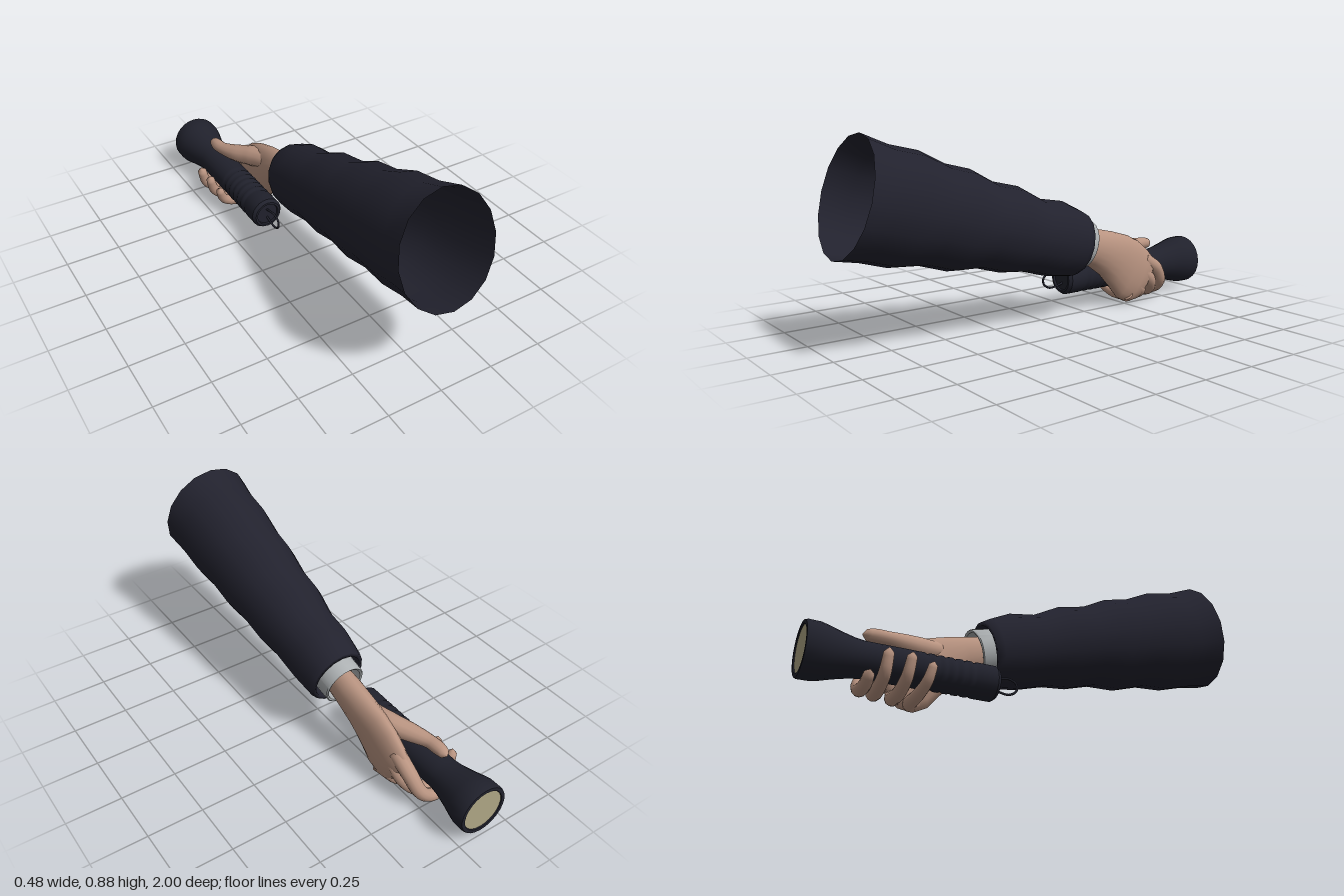
import * as THREE from 'three';
import { toCreasedNormals } from 'three/addons/utils/BufferGeometryUtils.js';

const V3 = (x, y, z) => new THREE.Vector3(x, y, z);
const mat = (name, color, side = THREE.FrontSide) => {
  const m = new THREE.MeshStandardMaterial({ color, side });
  m.name = name;
  return m;
};

// Skin a row of elliptical rings {c, u, v}; u x v points along the row.
function loft(rings, sides, capped) {
  const pos = [], idx = [];
  for (const { c, u, v } of rings) {
    for (let j = 0; j < sides; j++) {
      const a = (j / sides) * Math.PI * 2;
      const p = c.clone().addScaledVector(u, Math.cos(a)).addScaledVector(v, Math.sin(a));
      pos.push(p.x, p.y, p.z);
    }
  }
  for (let i = 0; i < rings.length - 1; i++) {
    for (let j = 0; j < sides; j++) {
      const k = (j + 1) % sides, a = i * sides, b = a + sides;
      idx.push(a + j, a + k, b + j, a + k, b + k, b + j);
    }
  }
  if (capped) {
    const last = (rings.length - 1) * sides, n = rings.length * sides;
    pos.push(...rings[0].c.toArray(), ...rings[rings.length - 1].c.toArray());
    for (let j = 0; j < sides; j++) {
      const k = (j + 1) % sides;
      idx.push(n, k, j, n + 1, last + j, last + k);
    }
  }
  const g = new THREE.BufferGeometry();
  g.setAttribute('position', new THREE.Float32BufferAttribute(pos, 3));
  g.setIndex(idx);
  g.computeVertexNormals();
  return g;
}

// Ring given by its top and bottom [z, y], centre x and half width.
const ring = ([tz, ty, bz, by, x, w]) => ({
  c: V3(x, (ty + by) / 2, (tz + bz) / 2),
  u: V3(-w, 0, 0),
  v: V3(0, (ty - by) / 2, (tz - bz) / 2),
});

// Round-ended tapered tube through points [x, y, z, radius].
function digit(points) {
  const curve = new THREE.CatmullRomCurve3(points.map((p) => V3(p[0], p[1], p[2])));
  const n = 24, f = curve.computeFrenetFrames(n, false), len = curve.getLength(), rings = [];
  for (let i = 0; i <= n; i++) {
    const t = i / n, s = curve.getUtoTmapping(t) * (points.length - 1);
    const k = Math.min(Math.floor(s), points.length - 2);
    let r = THREE.MathUtils.lerp(points[k][3], points[k + 1][3], s - k);
    const toTip = (1 - t) * len;
    if (toTip < r) r *= Math.sqrt(Math.max(0.02, 1 - (1 - toTip / r) ** 2));
    rings.push({
      c: curve.getPointAt(t),
      u: f.normals[i].clone().multiplyScalar(r),
      v: f.binormals[i].clone().multiplyScalar(r),
    });
  }
  return loft(rings, 12, true);
}

export function createModel() {
  const model = new THREE.Group();
  const add = (name, geometry, material, parent = model) => {
    const m = new THREE.Mesh(geometry, material);
    m.name = name;
    parent.add(m);
    return m;
  };
  const cloth = mat('navy cloth', 0x22222e, THREE.DoubleSide);
  const shirt = mat('grey shirt', 0xacb0b2, THREE.DoubleSide);
  const skin = mat('skin', 0xb99481);
  const casing = mat('dark casing', 0x20212c);
  const glass = mat('pale lens', 0xaea584);

  // Wrinkled jacket sleeve, open at the shoulder, rolled in at the hem
  add('sleeve', loft([
    [0.87, 0.88, 1.0, 0.40, 0.02, 0.22],
    [0.75, 0.83, 0.89, 0.38, 0.02, 0.207],
    [0.62, 0.80, 0.77, 0.345, 0.02, 0.205],
    [0.50, 0.74, 0.63, 0.335, 0.02, 0.191],
    [0.38, 0.71, 0.50, 0.295, 0.02, 0.187],
    [0.27, 0.65, 0.36, 0.29, 0.02, 0.172],
    [0.14, 0.62, 0.24, 0.255, 0.02, 0.168],
    [0.02, 0.555, 0.12, 0.243, 0.02, 0.15],
    [-0.10, 0.535, -0.01, 0.205, 0.02, 0.147],
    [-0.19, 0.49, -0.12, 0.19, 0.02, 0.138],
    [-0.22, 0.472, -0.15, 0.195, 0.02, 0.128],
    [-0.22, 0.455, -0.155, 0.21, 0.02, 0.113],
    [-0.15, 0.46, -0.10, 0.23, 0.02, 0.108],
  ].map(ring), 16, false), cloth);

  // Shirt cuff with a thin wall
  add('cuff', toCreasedNormals(loft([
    [-0.13, 0.46, -0.08, 0.245, 0.02, 0.096],
    [-0.265, 0.428, -0.205, 0.217, 0.02, 0.094],
    [-0.27, 0.423, -0.21, 0.222, 0.02, 0.089],
    [-0.262, 0.414, -0.209, 0.229, 0.02, 0.08],
    [-0.13, 0.446, -0.085, 0.258, 0.02, 0.084],
  ].map(ring), 24, false), 0.7), shirt);

  // Hand: wrist and palm, thumb, four curled fingers
  const hand = new THREE.Group();
  hand.name = 'hand';
  model.add(hand);
  add('palm', loft([
    [-0.13, 0.405, -0.11, 0.30, 0.02, 0.035],
    [-0.17, 0.412, -0.15, 0.255, 0.02, 0.055],
    [-0.30, 0.388, -0.26, 0.215, 0.02, 0.06],
    [-0.40, 0.365, -0.33, 0.165, 0.018, 0.058],
    [-0.50, 0.335, -0.39, 0.10, 0.014, 0.056],
    [-0.57, 0.30, -0.44, 0.04, 0.013, 0.053],
    [-0.63, 0.25, -0.50, 0.010, 0.012, 0.048],
    [-0.67, 0.205, -0.56, 0.018, 0.012, 0.038],
    [-0.68, 0.17, -0.60, 0.05, 0.01, 0.02],
  ].map(ring), 20, true), skin, hand);
  add('thumb', digit([
    [0.01, 0.29, -0.40, 0.045], [-0.025, 0.275, -0.50, 0.05], [-0.07, 0.262, -0.58, 0.042],
    [-0.105, 0.255, -0.66, 0.030], [-0.112, 0.253, -0.71, 0.030], [-0.112, 0.25, -0.765, 0.022],
  ]), skin, hand);
  const fingers = {
    indexFinger: [
      [0.015, 0.21, -0.60, 0.036], [0.012, 0.15, -0.69, 0.034], [-0.01, 0.08, -0.735, 0.031],
      [-0.06, 0.039, -0.745, 0.029], [-0.13, 0.037, -0.745, 0.026], [-0.19, 0.075, -0.745, 0.021],
    ],
    middleFinger: [
      [0.02, 0.16, -0.58, 0.036], [0.014, 0.10, -0.645, 0.034], [-0.03, 0.045, -0.68, 0.031],
      [-0.11, 0.031, -0.69, 0.029], [-0.19, 0.065, -0.69, 0.026], [-0.223, 0.165, -0.685, 0.021],
    ],
    ringFinger: [
      [0.02, 0.10, -0.54, 0.036], [0.008, 0.06, -0.585, 0.034], [-0.045, 0.034, -0.605, 0.030],
      [-0.12, 0.031, -0.605, 0.028], [-0.19, 0.07, -0.60, 0.025], [-0.222, 0.165, -0.59, 0.020],
    ],
    littleFinger: [
      [0.02, 0.06, -0.49, 0.036], [0.0, 0.04, -0.515, 0.033], [-0.05, 0.032, -0.53, 0.029],
      [-0.12, 0.032, -0.53, 0.026], [-0.185, 0.07, -0.515, 0.023], [-0.215, 0.145, -0.50, 0.018],
    ],
  };
  for (const [name, points] of Object.entries(fingers)) add(name, digit(points), skin, hand);

  // Flashlight, turned around its length and pointing to -z
  const torch = new THREE.Group();
  torch.name = 'flashlight';
  torch.position.set(-0.11, 0.143, 0);
  torch.rotation.x = -Math.PI / 2;
  model.add(torch);
  const profile = [[0, 0.205], [0.052, 0.205], [0.054, 0.195], [0.064, 0.195], [0.075, 0.21], [0.075, 0.29]];
  for (let i = 0; i < 6; i++) {
    const y = 0.3 + i * 0.04;
    profile.push([0.071, y], [0.071, y + 0.01], [0.075, y + 0.018], [0.075, y + 0.032]);
  }
  profile.push([0.075, 0.76], [0.08, 0.80], [0.094, 0.86], [0.108, 0.91], [0.115, 0.94],
    [0.116, 0.99], [0.112, 1.0], [0.097, 1.0], [0.095, 0.99], [0, 0.99]);
  const lathe = new THREE.LatheGeometry(profile.map(([r, y]) => new THREE.Vector2(r, y)), 24);
  add('casing', toCreasedNormals(lathe, 0.6), casing, torch);
  const lens = add('lens', new THREE.CylinderGeometry(0.095, 0.095, 0.006, 24), glass, torch);
  lens.position.y = 0.992;

  // Wire loop on the tail, slightly open
  const loop = new THREE.CatmullRomCurve3([
    V3(0, 0.21, 0.02), V3(0, 0.175, 0.03), V3(0, 0.13, 0.036), V3(0, 0.097, 0.018),
    V3(0, 0.097, -0.012), V3(0, 0.13, -0.034), V3(0, 0.175, -0.03), V3(0, 0.21, -0.02),
  ]);
  add('tailLoop', new THREE.TubeGeometry(loop, 28, 0.005, 8), casing, torch);

  return model;
}
